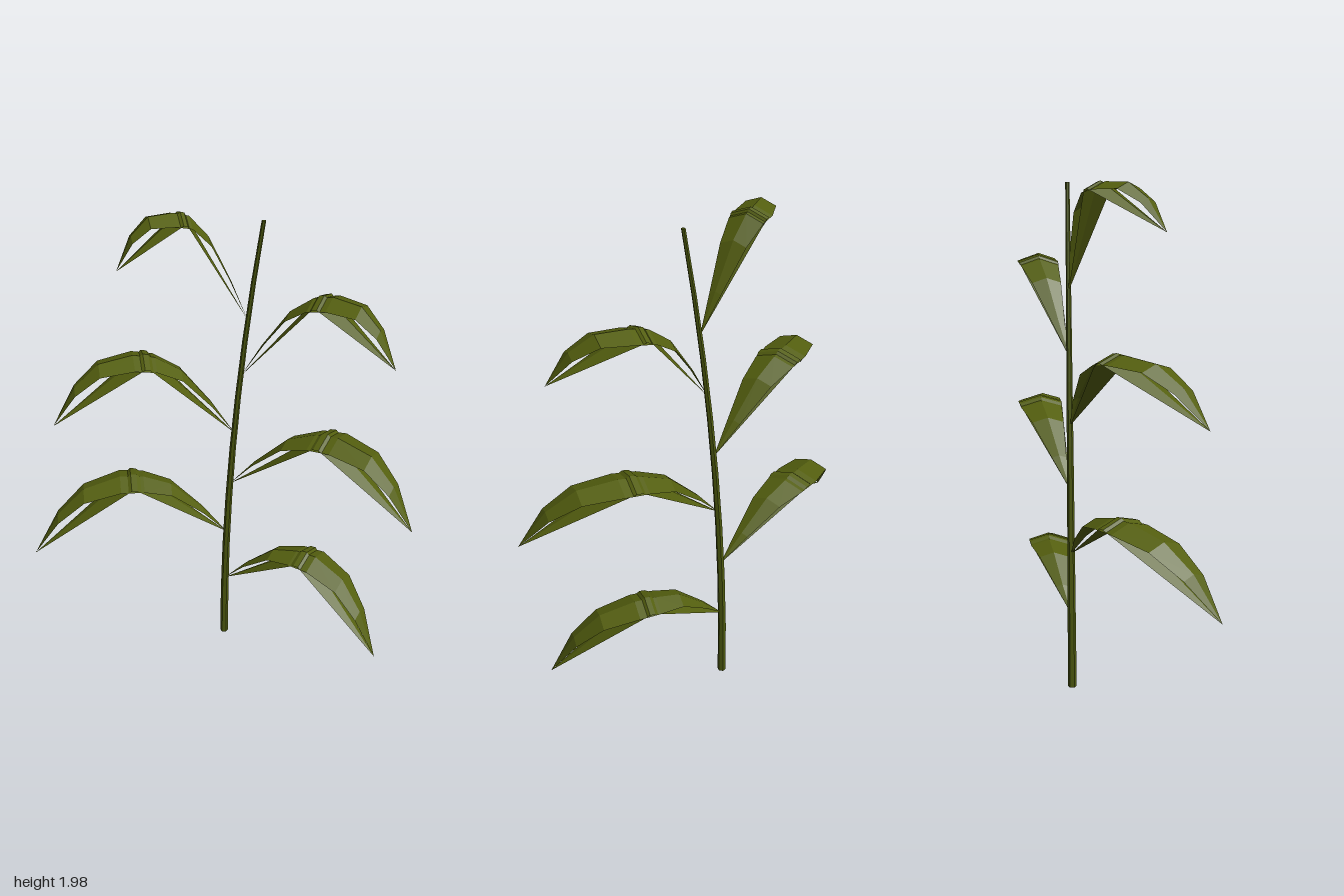
import * as THREE from 'three';

const leafGreen = new THREE.MeshStandardMaterial({ color: 0x545f0f, flatShading: true, side: THREE.DoubleSide });
leafGreen.name = 'leafGreen';
const stemGreen = new THREE.MeshStandardMaterial({ color: 0x4c580f, flatShading: true });
stemGreen.name = 'stemGreen';

// Blade rows: [position along leaf, arch height, outer edge, inner edge]; edges as fractions of the width
const UPPER = [
  [0, 0, 0, 0], [0.12, 0.4, 0.36, 0.04], [0.28, 0.82, 0.74, 0.04], [0.42, 0.96, 0.95, 0.03],
  [0.54, 0.99, 1, 0.02], [0.73, 0.88, 0.8, -0.02], [0.87, 0.56, 0.48, -0.06], [1, 0, 0, 0],
];
// Straight underside: two long triangles joined by a narrow strip at the top of the arch
const LOWER = [[0, 0, 0, 0], [0.455, 1.0, 0.98, 0.02], [0.485, 1.01, 0.99, 0.02], [1, 0, 0, 0]];

// Loft a creased strip (outer edge, midrib, inner edge) from base to tip
function blade(rows, base, tip, arch, width) {
  const dx = tip[0] - base[0], dy = tip[1] - base[1], dz = tip[2] - base[2];
  const len = Math.hypot(dx, dz), side = Math.sign(dx);
  const ox = side * dz / len, oz = -side * dx / len;
  const pos = [], index = [];
  rows.forEach(([t, h, outer, inner]) => {
    // leaves that climb bend over earlier, drooping leaves later
    const bend = 2.8 * (dy / len) * Math.max(0, t - 0.42) * (1 - t);
    const crease = 0.027 * (outer - inner);
    [[outer, crease], [(outer + inner) / 2, 0], [inner, crease]].forEach(([f, drop]) => {
      pos.push(
        base[0] + dx * t + ox * f * width,
        base[1] + dy * t + (h - bend) * arch - drop,
        base[2] + dz * t + oz * f * width);
    });
  });
  const tri = (a, b, c) => (side > 0 ? index.push(a, c, b) : index.push(a, b, c));
  const last = rows.length - 2;
  for (let i = 0; i <= last; i++) {
    for (let j = 0; j < 2; j++) {
      const a = i * 3 + j, b = a + 1, c = a + 3, d = a + 4;
      if (i > 0) tri(a, b, d);      // the base row is a single point
      if (i < last) tri(a, d, c);   // the tip row too
    }
  }
  const g = new THREE.BufferGeometry();
  g.setAttribute('position', new THREE.Float32BufferAttribute(pos, 3));
  g.setIndex(index);
  const flat = g.toNonIndexed();
  flat.computeVertexNormals();
  return flat;
}

// Sideways lean of the stem at a given height
const stemX = (y) => -0.1 + 0.0425 * y * y;
const STEM_Z = -0.15;

export function createModel() {
  const model = new THREE.Group();
  model.name = 'plant';

  // Tapered stem bent along its curve
  const height = 1.97;
  const stemGeo = new THREE.CylinderGeometry(0.008, 0.0175, height, 6, 8);
  stemGeo.translate(0, height / 2, 0);
  const p = stemGeo.attributes.position;
  for (let i = 0; i < p.count; i++) p.setXYZ(i, p.getX(i) + stemX(p.getY(i)), p.getY(i), p.getZ(i) + STEM_Z);
  stemGeo.computeVertexNormals();
  const stem = new THREE.Mesh(stemGeo, stemGreen);
  stem.name = 'stem';
  model.add(stem);

  // Leaves alternate up the stem: [base height, tip, arch height, width]
  const leaves = [
    [0.305, [0.625, 0.185, -0.16], 0.272, 0.165],
    [0.558, [-0.715, 0.518, 0.352], 0.275, 0.18],
    [0.81, [0.715, 0.838, -0.2], 0.283, 0.18],
    [1.062, [-0.582, 1.162, 0.315], 0.287, 0.175],
    [1.325, [0.578, 1.49, -0.222], 0.287, 0.16],
    [1.57, [-0.337, 1.81, 0.185], 0.307, 0.145],
  ];
  leaves.forEach(([y, tip, arch, width], i) => {
    const base = [stemX(y), y, STEM_Z];
    const leaf = new THREE.Group();
    leaf.name = 'leaf' + (i + 1);
    [['upperBlade', UPPER], ['lowerBlade', LOWER]].forEach(([name, rows]) => {
      const mesh = new THREE.Mesh(blade(rows, base, tip, arch, width), leafGreen);
      mesh.name = name;
      leaf.add(mesh);
    });
    model.add(leaf);
  });

  return model;
}
